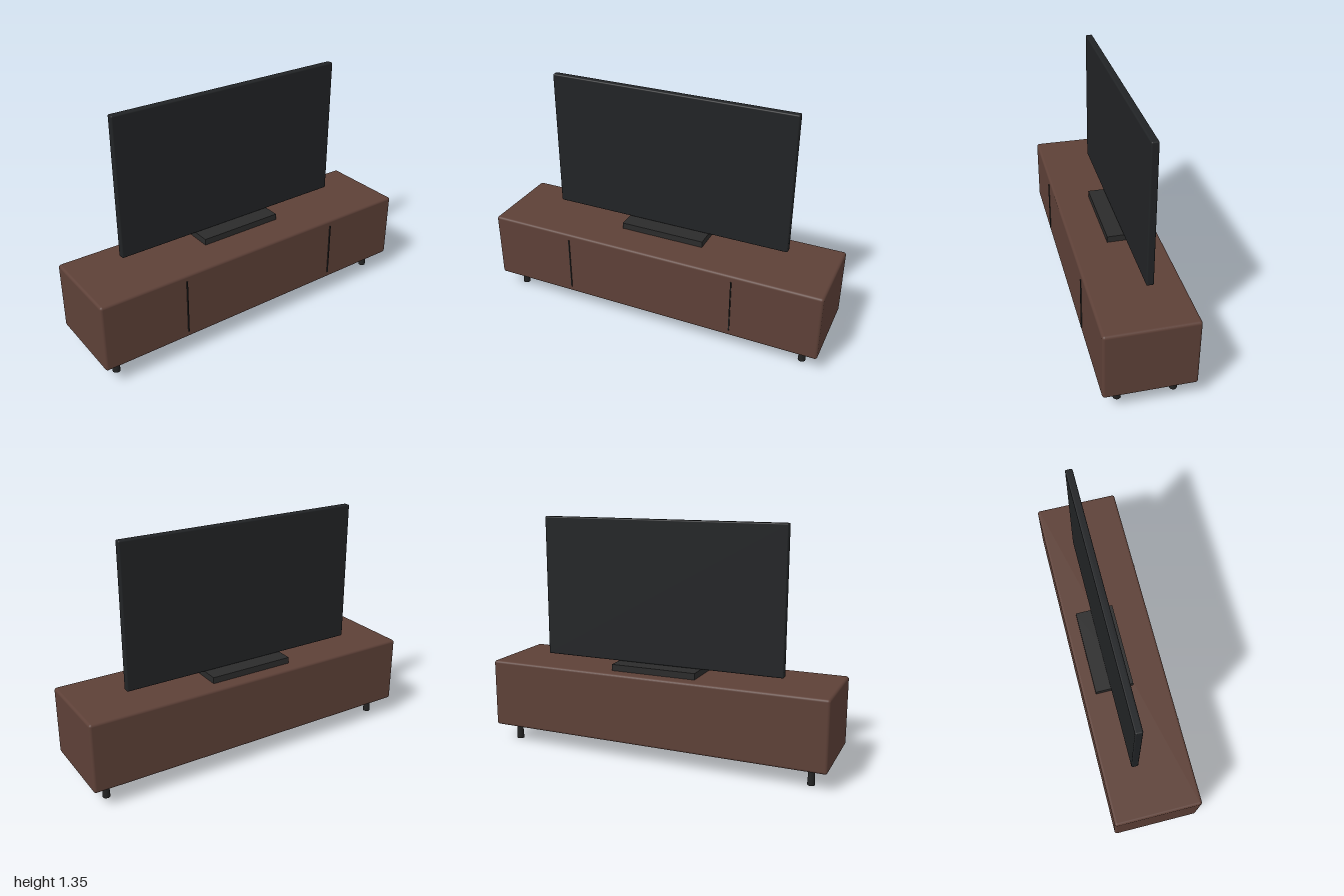
import * as THREE from 'three';
import { RoundedBoxGeometry } from 'three/addons/geometries/RoundedBoxGeometry.js';

const paint = (color) => new THREE.MeshStandardMaterial({ color });

export function createModel() {
  const group = new THREE.Group();
  const wood = paint(0x5d4037);
  const screenBlack = paint(0x212325);
  const standBlack = paint(0x2b2b2b);
  const legBlack = paint(0x222222);

  const add = (name, geometry, material, x, y, z) => {
    const mesh = new THREE.Mesh(geometry, material);
    mesh.name = name;
    mesh.position.set(x, y, z);
    group.add(mesh);
  };

  // Long low cabinet with softened edges
  add('cabinet', new RoundedBoxGeometry(2, 0.396, 0.496, 4, 0.015), wood, 0, 0.301, -0.001);

  // Thin dark door gaps on the front, and tapered legs that flare towards the floor
  const gap = new THREE.BoxGeometry(0.006, 0.322, 0.01);
  const leg = new THREE.CylinderGeometry(0.016, 0.021, 0.104, 16);
  for (const side of [-1, 1]) {
    add('doorGap', gap, legBlack, side * 0.5, 0.302, 0.248);
    for (const end of [-1, 1]) add('leg', leg, legBlack, side * 0.9, 0.052, end * 0.15);
  }

  // Television: flat foot and slim panel
  add('televisionFoot', new THREE.BoxGeometry(0.5, 0.036, 0.222), standBlack, 0, 0.517, -0.063);
  add('televisionPanel', new RoundedBoxGeometry(1.434, 0.81, 0.04, 4, 0.008), screenBlack, 0, 0.94, -0.064);

  return group;
}
